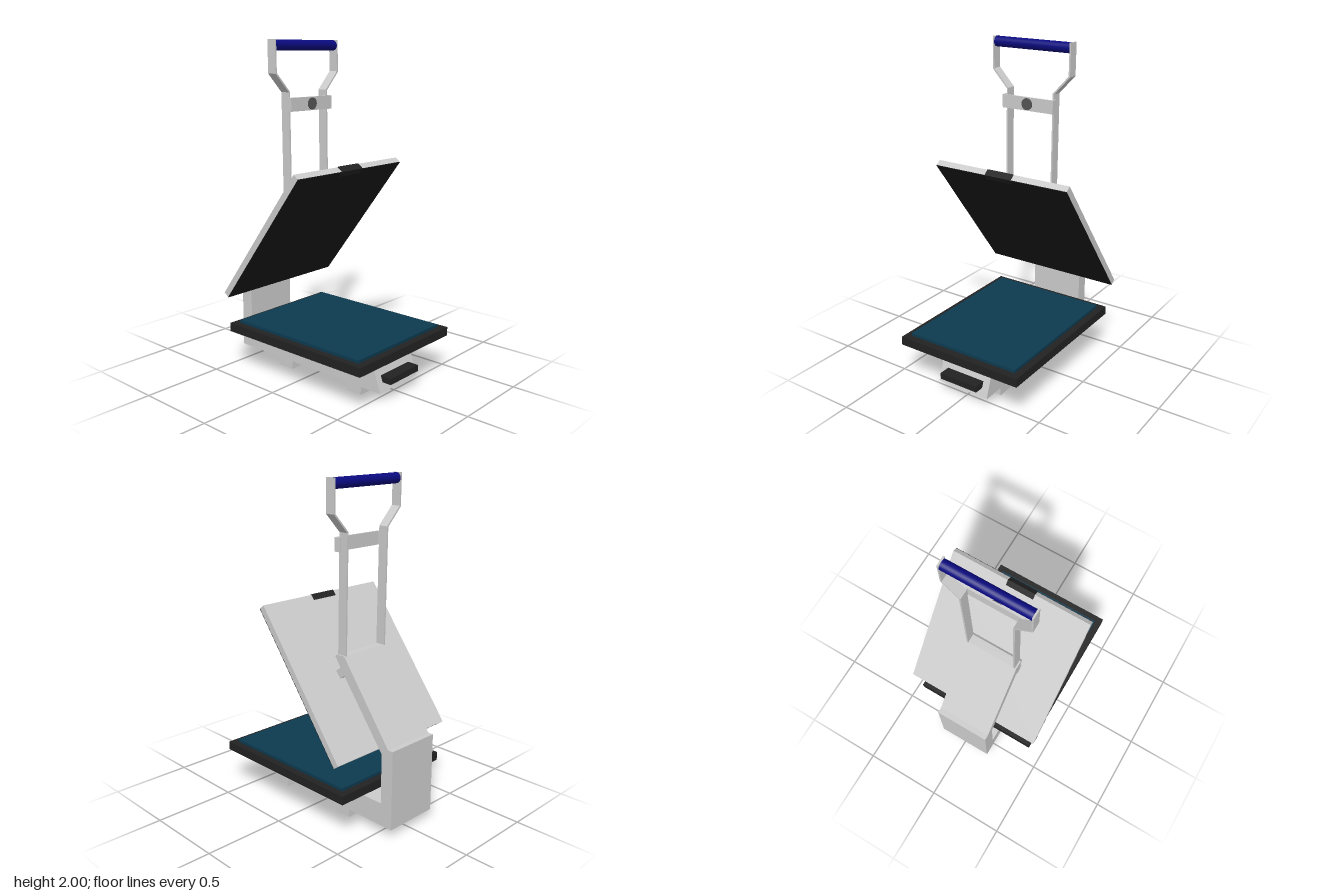
import * as THREE from 'three';

const grey = new THREE.MeshStandardMaterial({ color: 0xcccccc, flatShading: true });
const black = new THREE.MeshStandardMaterial({ color: 0x222222 });
const matBlack = new THREE.MeshStandardMaterial({ color: 0x191919 });
const teal = new THREE.MeshStandardMaterial({ color: 0x0c3a50 });
const blue = new THREE.MeshStandardMaterial({ color: 0x0a0a80 });
const dark = new THREE.MeshStandardMaterial({ color: 0x555555 });
const MID = 0.007; // z of the symmetry plane

export function createModel() {
  const model = new THREE.Group();
  model.name = 'heatPress';

  const add = (name, geometry, material, parent = model) => {
    const mesh = new THREE.Mesh(geometry, material);
    mesh.name = name;
    parent.add(mesh);
    return mesh;
  };
  // Box given by its limits on each axis
  const box = (name, [x0, x1], [y0, y1], [z0, z1], material, parent) =>
    add(name, new THREE.BoxGeometry(x1 - x0, y1 - y0, z1 - z0), material, parent)
      .position.set((x0 + x1) / 2, (y0 + y1) / 2, (z0 + z1) / 2);
  // Outline extruded symmetrically about its own plane
  const slab = (points, depth) => new THREE.ExtrudeGeometry(
    new THREE.Shape(points.map(p => new THREE.Vector2(...p))),
    { depth, bevelEnabled: false }).translate(0, 0, -depth / 2);
  const around = half => [MID - half, MID + half];

  // Base, rear column and sloping arm share one side outline
  add('frame', slab([
    [-0.595, 0.05], [0.54, 0.05], [0.49, 0.19], [-0.513, 0.19], [-0.513, 0.495],
    [-0.217, 0.884], [-0.185, 0.862], [-0.15, 0.9], [-0.185, 0.926],
    [-0.145, 0.985], [-0.16, 1.0], [-0.215, 1.0], [-0.56, 0.535], [-0.595, 0.535],
  ], 0.35), grey).position.z = MID;

  // Feet
  for (const x of [[-0.26, -0.15], [0.295, 0.4]])
    for (const z of [[MID + 0.09, MID + 0.175], [MID - 0.175, MID - 0.09]])
      box('foot', x, [0, 0.05], z, grey);

  // Lower platen
  box('platenSupport', [-0.26, 0.4], [0.19, 0.242], around(0.088), grey);
  box('lowerPlaten', [-0.445, 0.59], [0.242, 0.295], around(0.415), black);
  box('pad', [-0.4, 0.545], [0.295, 0.313], around(0.373), teal);
  box('drawerPull', [0.505, 0.58], [0.1, 0.138], around(0.13), black);

  // Tilted heating plate: local x runs up the slope, local y is its upper side
  const plate = new THREE.Group();
  plate.name = 'upperPlate';
  plate.position.set(-0.14, 0.878, -0.001);
  plate.rotation.z = Math.atan2(0.788, 0.598);
  model.add(plate);
  box('plateBody', [-0.495, 0.495], [-0.018, 0.021], [-0.453, 0.453], grey, plate);
  box('heatingFace', [-0.495, 0.495], [-0.021, -0.018], [-0.453, 0.453], matBlack, plate);
  box('plateCatch', [0.46, 0.499], [-0.022, 0.022], [-0.086, 0.094], black, plate);

  // Cranked flat bars of the lever, leaning slightly back with height
  const lever = new THREE.Group();
  lever.name = 'lever';
  model.add(lever);
  for (const s of [1, -1]) {
    const bar = slab([
      [0.155, 0.96], [0.165, 0.96], [0.165, 1.7], [0.267, 1.808], [0.267, 2],
      [0.257, 2], [0.257, 1.812], [0.155, 1.704],
    ].map(([z, y]) => [z * s, y]), 0.061).rotateY(-Math.PI / 2);
    const p = bar.attributes.position;
    for (let i = 0; i < p.count; i++)
      p.setX(i, p.getX(i) - 0.187 - 0.014 * (p.getY(i) - 1));
    bar.computeVertexNormals();
    add('leverBar', bar, grey, lever).position.z = MID;
    // Folded end of the cross plate
    const z = MID + s * 0.17;
    box('crossPlateTab', [-0.18, -0.137], [1.59, 1.67], [z - 0.005, z + 0.005], grey, lever);
  }
  box('crossPlate', [-0.148, -0.137], [1.59, 1.67], around(0.166), grey, lever);

  // Round knob and grip
  const knob = add('knob', new THREE.CylinderGeometry(0.035, 0.035, 0.012, 32), dark, lever);
  knob.rotation.z = Math.PI / 2;
  knob.position.set(-0.136, 1.63, MID + 0.001);
  const grip = add('grip', new THREE.CylinderGeometry(0.031, 0.031, 0.516, 32), blue, lever);
  grip.rotation.x = Math.PI / 2;
  grip.position.set(-0.2, 1.968, MID);

  return model;
}
